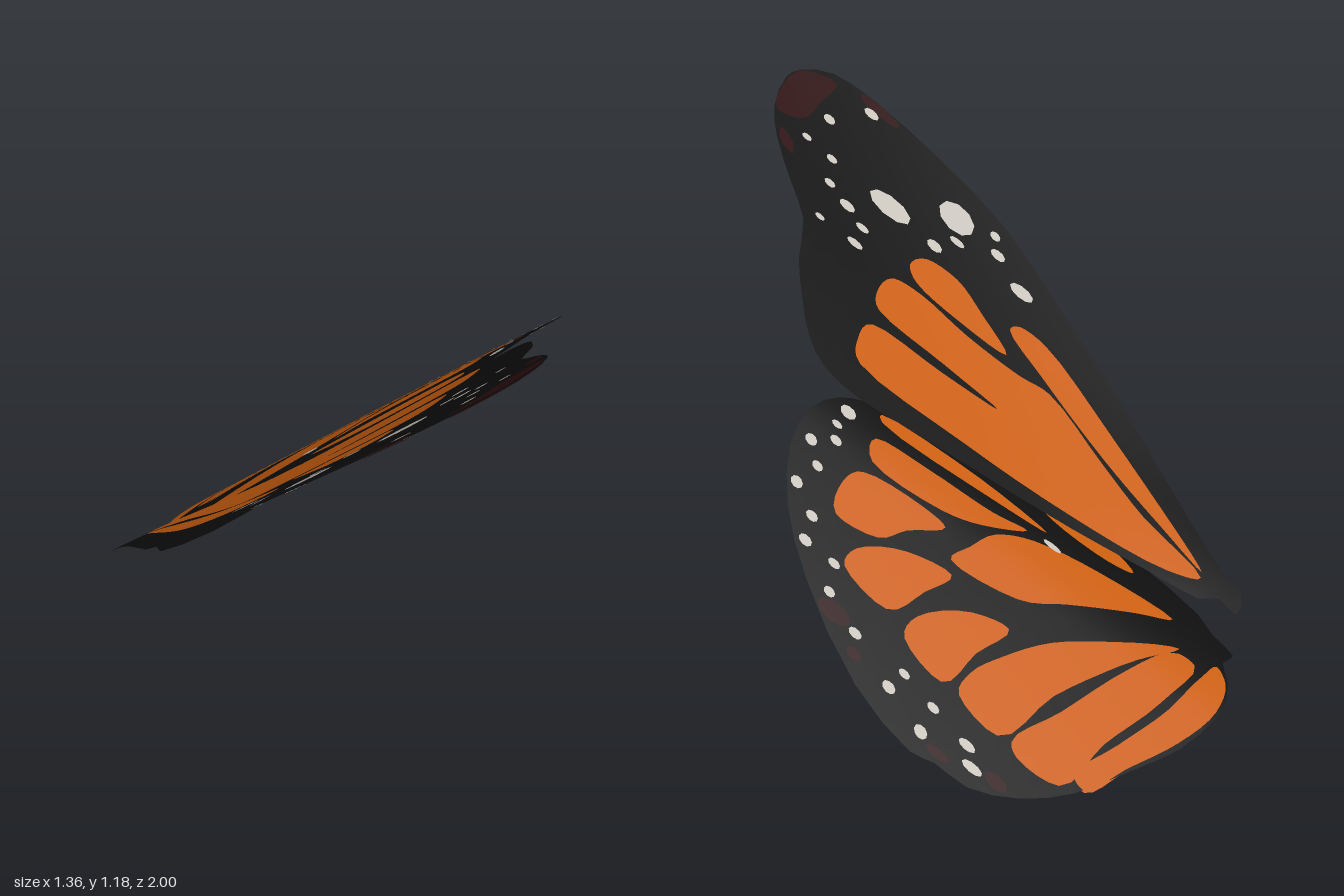
import * as THREE from 'three';
import { mergeGeometries, mergeVertices } from 'three/addons/utils/BufferGeometryUtils.js';

const paint = (name, color) => {
  const m = new THREE.MeshStandardMaterial({ color, side: THREE.DoubleSide });
  m.name = name;
  return m;
};

// Height of each gently curved wing above the ground at (x, z)
function foreHeight(x, z) {
  const lead = Math.max(0, 0.8 * z - 0.6 * x - 0.05);
  const root = Math.exp(-((x + 0.67) ** 2 + (z - 0.1) ** 2) / 0.1);
  return 0.524 + 0.766 * x + 0.153 * z + 0.12 * lead * lead + 0.04 * root;
}
function hindHeight(x, z) {
  const tuck = Math.max(0, z + 0.35); // slides beneath the forewing
  return 0.56 + 0.732 * x + 0.231 * z - 0.5 * tuck * tuck;
}

// Rounded closed outline through [x, z] points
function rounded(points, steps = 4) {
  const v = points.map(([x, z]) => new THREE.Vector3(x, 0, z));
  const curve = new THREE.CatmullRomCurve3(v, true, 'centripetal');
  return curve.getPoints(points.length * steps).slice(0, -1).map(p => new THREE.Vector2(p.x, p.z));
}

function oval([x, z, rx, rz]) {
  return Array.from({ length: 9 }, (_, i) => {
    const a = (i / 9) * Math.PI * 2;
    return new THREE.Vector2(x + rx * Math.cos(a), z + rz * Math.sin(a));
  });
}

// Fill an outline, halve its long edges, and lift it onto the wing surface
function sheet(outline, height, offset) {
  const pos = [];
  const split = (a, b, c) => {
    const ab = a.distanceTo(b), bc = b.distanceTo(c), ca = c.distanceTo(a);
    const longest = Math.max(ab, bc, ca);
    if (longest < 0.07) {
      for (const p of [a, b, c]) pos.push(p.x, height(p.x, p.y) + offset, p.y);
    } else if (longest === ab) {
      const m = a.clone().add(b).multiplyScalar(0.5);
      split(a, m, c); split(m, b, c);
    } else if (longest === bc) {
      split(b, c, a);
    } else {
      split(c, a, b);
    }
  };
  const pts = THREE.ShapeUtils.isClockWise(outline) ? outline.slice().reverse() : outline;
  for (const [i, j, k] of THREE.ShapeUtils.triangulateShape(pts, [])) split(pts[i], pts[k], pts[j]);
  const g = new THREE.BufferGeometry();
  g.setAttribute('position', new THREE.Float32BufferAttribute(pos, 3));
  const smooth = mergeVertices(g, 1e-5);
  smooth.computeVertexNormals();
  return smooth;
}

// Markings lie on both faces of the membrane
function addMarkings(group, name, outlines, height, material, lift) {
  for (const side of [1, -1]) {
    const g = mergeGeometries(outlines.map(o => sheet(o, height, side * lift)));
    const mesh = new THREE.Mesh(g, material);
    mesh.name = name + (side > 0 ? 'Upper' : 'Under');
    group.add(mesh);
  }
}

// Forewing: membrane, cells, pale spots and dark red edge
const FORE_EDGE = [[-0.68, 0.14], [-0.65, 0.145], [-0.5, 0.31], [-0.315, 0.53], [-0.1, 0.73], [0.08, 0.88],
  [0.27, 0.957], [0.48, 1], [0.585, 0.985], [0.655, 0.9], [0.676, 0.82], [0.665, 0.665], [0.63, 0.56],
  [0.56, 0.43], [0.495, 0.32], [0.464, 0.16], [0.42, 0.03], [0.374, -0.08], [0.32, -0.14], [0.24, -0.155],
  [0.1, -0.12], [-0.2, -0.05], [-0.45, 0], [-0.58, 0.02], [-0.63, 0.066], [-0.676, 0.055]];
const FORE_CELLS = [
  [[-0.58, 0.09], [-0.5, 0.04], [-0.25, 0], [0, -0.03], [0.26, -0.04], [0.285, 0.04], [0.27, 0.13],
    [0.1, 0.155], [-0.04, 0.18], [0.1, 0.19], [0.27, 0.2], [0.29, 0.26], [0.27, 0.36], [0.2, 0.38],
    [0.08, 0.36], [-0.06, 0.36], [-0.14, 0.375], [-0.3, 0.26], [-0.42, 0.17]],
  [[-0.58, 0.11], [-0.45, 0.185], [-0.3, 0.28], [-0.12, 0.41], [-0.01, 0.5], [-0.03, 0.54], [-0.1, 0.54],
    [-0.3, 0.39], [-0.5, 0.2]],
  [[-0.02, 0.4], [0.1, 0.39], [0.22, 0.41], [0.25, 0.46], [0.22, 0.53], [0.14, 0.54], [0.06, 0.48]],
];
const FORE_SPOTS = [[0.34, 0.62, 0.055, 0.045], [0.19, 0.77, 0.048, 0.06], [-0.01, 0.67, 0.032, 0.026],
  [0.215, 0.6, 0.02, 0.022], [0.07, 0.745, 0.02, 0.02], [0.09, 0.81, 0.014, 0.018], [0.465, 0.93, 0.02, 0.02],
  [0.545, 0.78, 0.015, 0.02], [0.425, 0.495, 0.02, 0.02], [0.48, 0.53, 0.014, 0.016], [0.5, 0.63, 0.014, 0.016],
  [0.375, 0.375, 0.02, 0.016], [0.375, 0.455, 0.017, 0.015], [0.465, 0.37, 0.012, 0.012],
  [0.57, 0.64, 0.012, 0.014], [0.17, 0.68, 0.02, 0.015]];
const FORE_RED = [
  [[0.6, 0.7], [0.655, 0.66], [0.67, 0.82], [0.64, 0.91], [0.57, 0.95], [0.58, 0.83]],
  [[0.4, 0.95], [0.5, 0.96], [0.5, 0.99], [0.4, 0.975]],
  [[0.58, 0.53], [0.61, 0.54], [0.63, 0.6], [0.6, 0.59]],
];

// Hindwing: membrane, cells, pale spots and dark red edge
const HIND_EDGE = [[-0.68, -0.26], [-0.68, -0.17], [-0.66, -0.1], [-0.68, -0.03], [-0.62, 0], [-0.58, 0.05],
  [-0.4, 0.09], [-0.2, 0.06], [0, 0.03], [0.12, -0.05], [0.22, -0.14], [0.27, -0.2], [0.31, -0.3], [0.32, -0.45],
  [0.28, -0.62], [0.2, -0.77], [0.05, -0.94], [-0.08, -1], [-0.13, -0.985], [-0.2, -0.985], [-0.3, -0.92],
  [-0.4, -0.81], [-0.5, -0.65], [-0.6, -0.48], [-0.665, -0.32]];
const HIND_CELLS = [
  [[-0.675, -0.18], [-0.665, -0.3], [-0.595, -0.47], [-0.495, -0.65], [-0.42, -0.785], [-0.395, -0.77],
    [-0.47, -0.6], [-0.56, -0.4], [-0.62, -0.22], [-0.65, -0.14]],
  [[-0.6, -0.2], [-0.54, -0.4], [-0.44, -0.63], [-0.37, -0.82], [-0.28, -0.83], [-0.26, -0.8], [-0.34, -0.63],
    [-0.46, -0.37], [-0.56, -0.2]],
  [[-0.56, -0.18], [-0.44, -0.38], [-0.32, -0.6], [-0.23, -0.81], [-0.14, -0.78], [-0.15, -0.7], [-0.2, -0.6],
    [-0.29, -0.46], [-0.42, -0.32]],
  [[-0.1, -0.78], [-0.01, -0.74], [-0.02, -0.66], [-0.12, -0.54], [-0.2, -0.51], [-0.15, -0.64]],
  [[0.04, -0.7], [0.14, -0.67], [0.13, -0.6], [0.04, -0.51], [-0.06, -0.48], [-0.02, -0.58]],
  [[0.1, -0.53], [0.19, -0.55], [0.2, -0.45], [0.17, -0.38], [0.04, -0.35], [-0.02, -0.36], [0.05, -0.45]],
  [[-0.05, -0.44], [-0.08, -0.36], [-0.12, -0.27], [-0.2, -0.19], [-0.35, -0.12], [-0.53, -0.08], [-0.45, -0.17],
    [-0.3, -0.32], [-0.2, -0.41]],
  [[-0.09, -0.27], [0, -0.32], [0.16, -0.33], [0.17, -0.25], [0.05, -0.22], [-0.1, -0.2], [-0.18, -0.17]],
  [[-0.22, -0.12], [-0.1, -0.15], [0.17, -0.18], [0.18, -0.15], [-0.05, -0.105]],
  [[-0.42, 0], [-0.36, -0.04], [-0.22, -0.045], [-0.16, 0], [-0.22, 0.04], [-0.36, 0.045]],
];
const HIND_SPOTS = [[-0.2, -0.935, 0.022, 0.014], [-0.09, -0.94, 0.014, 0.018], [-0.01, -0.89, 0.014, 0.016],
  [-0.18, -0.89, 0.018, 0.014], [-0.1, -0.86, 0.013, 0.013], [-0.03, -0.83, 0.012, 0.012],
  [0.08, -0.82, 0.014, 0.014], [0.15, -0.765, 0.012, 0.014], [0.16, -0.685, 0.013, 0.013],
  [0.225, -0.68, 0.014, 0.016], [0.23, -0.605, 0.013, 0.015], [0.28, -0.545, 0.013, 0.018],
  [0.255, -0.46, 0.012, 0.015], [0.285, -0.4, 0.013, 0.018], [0.24, -0.35, 0.013, 0.015],
  [0.24, -0.235, 0.018, 0.024], [0.25, -0.3, 0.012, 0.012], [-0.24, -0.16, 0.022, 0.012],
  [0.04, -0.02, 0.026, 0.016], [-0.02, 0.005, 0.03, 0.022], [-0.1, 0.01, 0.025, 0.015]];
const HIND_RED = [[-0.25, -0.925, 0.025, 0.02], [0.13, -0.805, 0.035, 0.028], [-0.13, -0.96, 0.025, 0.014],
  [0.07, -0.87, 0.016, 0.016]];

export function createModel() {
  const black = paint('black membrane', 0x0e0e0e);
  const orange = paint('orange cells', 0xc85d0f);
  const white = paint('pale spots', 0xc6c2ba);
  const red = paint('dark red edge', 0x2c0c0d);

  const buildWing = (name, edge, cells, spots, reds, height) => {
    const wing = new THREE.Group();
    wing.name = name;
    const membrane = new THREE.Mesh(sheet(rounded(edge, 2), height, 0), black);
    membrane.name = name + 'Membrane';
    wing.add(membrane);
    addMarkings(wing, name + 'Cells', cells.map(c => rounded(c)), height, orange, 0.003);
    addMarkings(wing, name + 'RedEdge', reds, height, red, 0.003);
    addMarkings(wing, name + 'Spots', spots.map(oval), height, white, 0.0045);
    return wing;
  };

  const model = new THREE.Group();
  model.name = 'butterflyWings';
  model.add(buildWing('forewing', FORE_EDGE, FORE_CELLS, FORE_SPOTS, FORE_RED.map(r => rounded(r)), foreHeight));
  model.add(buildWing('hindwing', HIND_EDGE, HIND_CELLS, HIND_SPOTS, HIND_RED.map(oval), hindHeight));
  return model;
}
